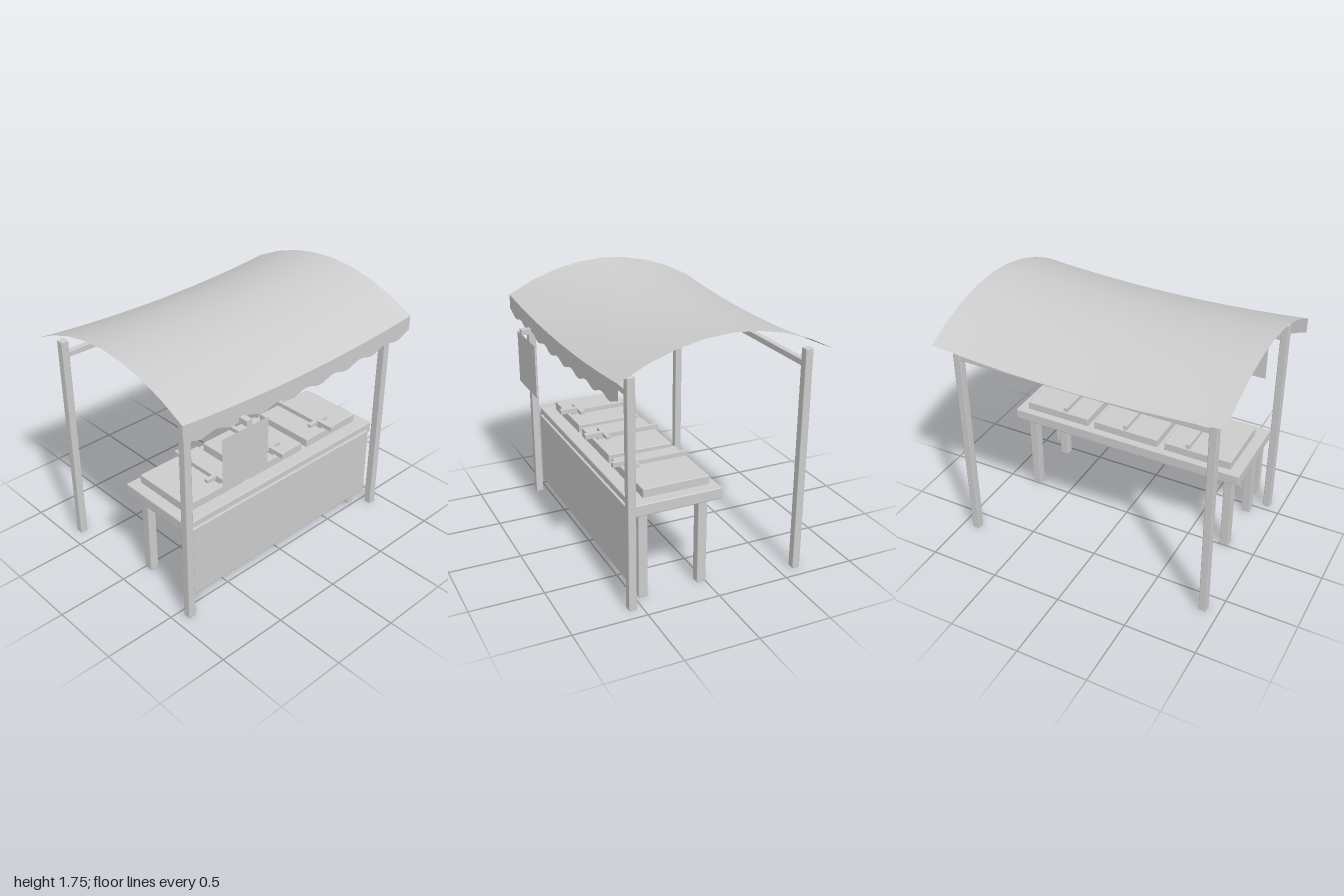
import * as THREE from 'three';
import { RoundedBoxGeometry } from 'three/addons/geometries/RoundedBoxGeometry.js';

export function createModel() {
  const stall = new THREE.Group();
  stall.name = 'marketStall';

  const paint = new THREE.MeshStandardMaterial({ color: 0xcccccc, side: THREE.DoubleSide });
  paint.name = 'plainGrey';

  const add = (name, geometry, x = 0, y = 0, z = 0) => {
    const mesh = new THREE.Mesh(geometry, paint);
    mesh.name = name;
    mesh.position.set(x, y, z);
    stall.add(mesh);
    return mesh;
  };
  // Boxes given by their lower and upper limits along y and z, centred on x
  const box = (name, x, w, y0, y1, z0, z1, bevel = 0) => add(
    name,
    bevel ? new RoundedBoxGeometry(w, y1 - y0, z1 - z0, 1, bevel)
      : new THREE.BoxGeometry(w, y1 - y0, z1 - z0),
    x, (y0 + y1) / 2, (z0 + z1) / 2);

  // Canopy: arched front to back, sagging towards the middle
  const zFront = 0.68, zBack = -0.745;
  const zMid = (zFront + zBack) / 2, zHalf = (zFront - zBack) / 2;
  const canopyY = (x, z) => {
    const t = (z - zMid) / zHalf;
    return 1.553 + 0.197 * (1 - t * t) - 0.05 * (1 - x * x);
  };
  const canopy = new THREE.PlaneGeometry(2, zHalf * 2, 16, 8);
  canopy.rotateX(-Math.PI / 2).translate(0, 0, zMid);
  const c = canopy.attributes.position;
  for (let i = 0; i < c.count; i++) c.setY(i, canopyY(c.getX(i), c.getZ(i)));
  canopy.computeVertexNormals();
  add('canopy', canopy);

  // Valance: hangs from the front edge with a wavy hem
  const valance = new THREE.PlaneGeometry(2, 1, 64, 1);
  const v = valance.attributes.position;
  for (let i = 0; i < v.count; i++) {
    const x = v.getX(i);
    const drop = v.getY(i) < 0 ? 0.12 - 0.015 * Math.cos(8 * Math.PI * x) : 0;
    v.setXYZ(i, x, canopyY(x, zFront) - drop, zFront);
  }
  add('valance', valance);

  // Posts and the beams between them
  for (const [place, z] of [['front', 0.565], ['back', -0.625]]) {
    for (const s of [-1, 1]) {
      box(place + (s > 0 ? 'LeftPost' : 'RightPost'), s * 0.893, 0.054, 0, 1.545, z - 0.027, z + 0.027, 0.006);
    }
    box(place + 'Beam', 0, 1.75, 1.42, 1.46, z - 0.02, z + 0.02, 0.004);
  }

  // Counter: slab, front panel and legs
  box('counterTop', 0, 1.74, 0.617, 0.697, -0.072, 0.53, 0.008);
  box('frontPanel', 0, 1.66, 0.125, 0.653, 0.5, 0.546, 0.006);
  for (const [place, z] of [['front', 0.445], ['back', 0.03]]) {
    for (const s of [-1, 1]) {
      box(place + (s > 0 ? 'LeftLeg' : 'RightLeg'), s * 0.775, 0.064, 0, 0.625, z - 0.032, z + 0.032, 0.006);
    }
  }

  // Display boards, each with a sword lying on it
  for (const s of [-1, 0, 1]) {
    box('displayBoard', s * 0.545, 0.492, 0.69, 0.756, -0.022, 0.437, 0.006);
    const x = s * 0.477;
    box('swordBlade', x, 0.03, 0.769, 0.8, -0.028, 0.42);
    box('swordGuard', x, 0.176, 0.788, 0.812, 0.357, 0.385);
    box('swordHandle', x, 0.034, 0.785, 0.817, 0.38, 0.51);
  }

  // Hanging sign and its bracket
  box('signBracket', -0.55, 0.043, 1.39, 1.428, 0.56, 0.747);
  add('signBoard', new THREE.PlaneGeometry(0.375, 0.375), -0.55, 1.171, 0.714);

  return stall;
}
